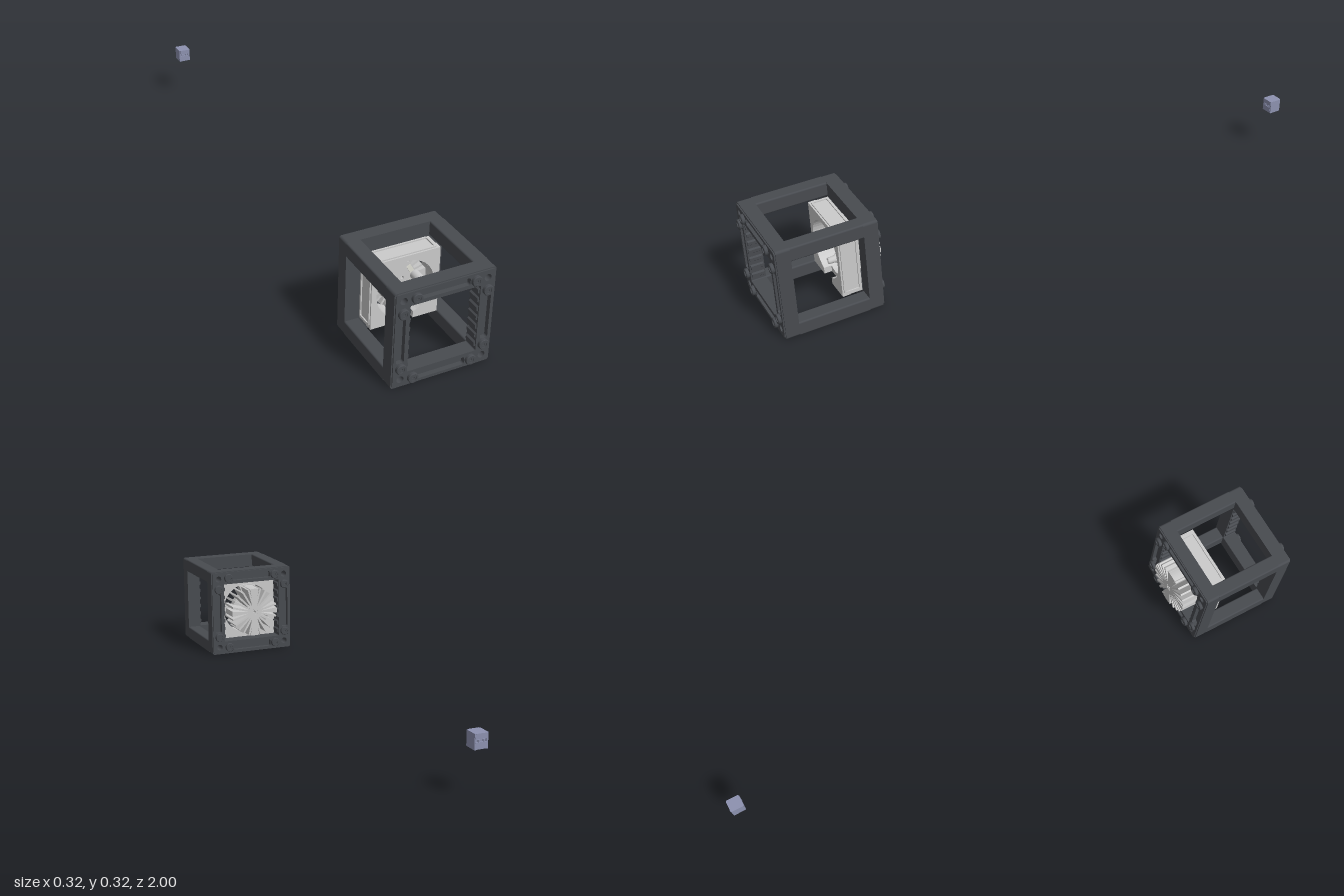
import * as THREE from 'three';

const CY = 0.16; // height of the cube's centre
const dark = new THREE.MeshStandardMaterial({ color: 0x484b50 });
const grey = new THREE.MeshStandardMaterial({ color: 0xcccccc });
const pale = new THREE.MeshStandardMaterial({ color: 0xe0e0d6 });
const blue = new THREE.MeshStandardMaterial({ color: 0x8d92b0 });

function add(parent, name, geo, mat, x = 0, y = 0, z = 0) {
  const m = new THREE.Mesh(geo, mat);
  m.name = name;
  m.position.set(x, y, z);
  parent.add(m);
  return m;
}

// Rounded rectangle drawn around (x, y)
function rounded(w, h, r, x = 0, y = 0, Type = THREE.Shape) {
  const s = new Type(), a = w / 2 - r, b = h / 2 - r;
  s.absarc(x + a, y + b, r, 0, Math.PI / 2);
  s.absarc(x - a, y + b, r, Math.PI / 2, Math.PI);
  s.absarc(x - a, y - b, r, Math.PI, Math.PI * 1.5);
  s.absarc(x + a, y - b, r, Math.PI * 1.5, Math.PI * 2);
  s.closePath();
  return s;
}

function hole(x, y, r) {
  return new THREE.Path().absarc(x, y, r, 0, Math.PI * 2, true);
}

// Extrusion between two depths
function slab(shape, z0, z1) {
  return new THREE.ExtrudeGeometry(shape, { depth: z1 - z0, bevelEnabled: false, curveSegments: 20 }).translate(0, 0, z0);
}

const corners = [[1, 1], [-1, 1], [-1, -1], [1, -1]];

// One square end of the cage, outer face towards local +z at z = 0
function endFrame(name) {
  const g = new THREE.Group();
  g.name = name;
  const outline = (size, slots) => {
    const s = rounded(size, size, 0.008);
    s.holes.push(rounded(0.22, 0.22, 0.003, 0, 0, THREE.Path));
    corners.forEach(([a, b]) => s.holes.push(hole(a * 0.131, b * 0.131, 0.011)));
    if (slots) for (const k of [-1, 1]) {
      s.holes.push(rounded(0.15, 0.024, 0.006, 0, k * 0.134, THREE.Path));
      s.holes.push(rounded(0.024, 0.15, 0.006, k * 0.134, 0, THREE.Path));
    }
    return s;
  };
  add(g, 'frameBase', slab(outline(0.317, false), -0.048, -0.015), dark);
  add(g, 'frameSlotted', slab(outline(0.317, true), -0.015, -0.004), dark);
  add(g, 'frameLip', slab(outline(0.31, true), -0.004, 0), dark);

  // Stepped round bosses, two beside each corner hole
  const profile = [[0, 0.004], [0.004, 0.004], [0.004, 0.007], [0.009, 0.007], [0.009, 0.01],
    [0.0145, 0.01], [0.016, 0.008], [0.016, -0.002]].map(p => new THREE.Vector2(...p)).reverse();
  const boss = new THREE.LatheGeometry(profile, 28).rotateX(Math.PI / 2);
  const bossMat = dark.clone();
  bossMat.side = THREE.DoubleSide;
  bossMat.flatShading = true;
  corners.forEach(([a, b]) => {
    add(g, 'boss', boss, bossMat, a * 0.093, b * 0.133, 0);
    add(g, 'boss', boss, bossMat, a * 0.132, b * 0.092, 0);
  });

  // Grip teeth along the inner sides
  const tooth = new THREE.Shape([[0, -0.009], [0.005, -0.005], [0.005, 0.005], [0, 0.009]].map(p => new THREE.Vector2(...p)));
  const toothGeo = slab(tooth, -0.044, -0.004);
  for (let i = -3; i <= 3; i++) {
    add(g, 'gripTooth', toothGeo, dark, -0.11, i * 0.03, 0);
    add(g, 'gripTooth', toothGeo, dark, 0.11, i * 0.03, -0.048).rotation.y = Math.PI;
  }
  return g;
}

// Cage: two ends joined by four hollow posts
function cage() {
  const g = new THREE.Group();
  g.name = 'cage';
  const front = endFrame('frontFrame');
  front.position.z = 0.99;
  const back = endFrame('backFrame');
  back.position.z = 0.665;
  back.rotation.y = Math.PI;
  g.add(front, back);
  const post = rounded(0.047, 0.047, 0.005);
  post.holes.push(hole(0, 0, 0.011));
  const postGeo = slab(post, 0.713, 0.942);
  corners.forEach(([a, b]) => add(g, 'post', postGeo, dark, a * 0.135, b * 0.135, 0));
  return g;
}

// Block that carries the heat sink
function carrier() {
  const g = new THREE.Group();
  g.name = 'carrier';
  const back = rounded(0.22, 0.222, 0.003);
  back.holes.push(hole(0, 0, 0.094));
  add(g, 'carrierBack', slab(back, 0.715, 0.755), grey);

  // Front layer has a cable channel running down from the round opening
  const f = new THREE.Shape(), c = 0.03, a = Math.asin(c / 0.094);
  f.moveTo(c, -0.111);
  f.lineTo(0.11, -0.111);
  f.lineTo(0.11, 0.111);
  f.lineTo(-0.11, 0.111);
  f.lineTo(-0.11, -0.111);
  f.lineTo(-c, -0.111);
  f.absarc(0, 0, 0.094, -Math.PI / 2 - a, -Math.PI / 2 + a, true);
  f.closePath();
  add(g, 'carrierFront', slab(f, 0.755, 0.78), grey);

  // Rimmed name panels, left blank, on the top and both sides
  const rim = rounded(0.2, 0.056, 0.004);
  rim.holes.push(rounded(0.188, 0.044, 0.003, 0, 0, THREE.Path));
  const rimGeo = slab(rim, 0, 0.005).rotateX(-Math.PI / 2);
  for (const k of [-1, 0, 1]) {
    const holder = new THREE.Group();
    holder.name = 'sidePanel';
    holder.rotation.z = k * Math.PI / 2;
    add(holder, 'panelRim', rimGeo, grey, 0, k ? 0.109 : 0.11, 0.747);
    g.add(holder);
  }
  return g;
}

function sector(r0, r1, mid, half) {
  const s = new THREE.Shape();
  s.absarc(0, 0, r1, mid - half, mid + half, false);
  s.absarc(0, 0, r0, mid + half, mid - half, true);
  s.closePath();
  return s;
}

// Round finned heat sink with a lamp board on its front
function heatSink() {
  const g = new THREE.Group();
  g.name = 'heatSink';
  const disc = new THREE.Shape().absarc(0, 0, 0.062, 0, Math.PI * 2, false);
  disc.holes.push(hole(0, 0, 0.005));
  for (const k of [-1, 1]) disc.holes.push(rounded(0.009, 0.009, 0.001, k * 0.019, 0, THREE.Path));
  add(g, 'baseDisc', slab(disc, 0.705, 0.728), grey);
  const hub = new THREE.Shape().absarc(0, 0, 0.014, 0, Math.PI * 2, false);
  hub.holes.push(hole(0, 0, 0.005));
  add(g, 'hub', slab(hub, 0.637, 0.705), grey);

  // Broad lugs up, down, left and right
  for (let i = 0; i < 4; i++) {
    const mid = i * Math.PI / 2, half = i % 2 ? 0.36 : 0.2;
    add(g, 'lug', slab(sector(0.055, 0.0935, mid, half), 0.705, 0.735), grey);
    add(g, 'broadFin', slab(sector(0.026, 0.09, mid, half * 0.55), 0.635, 0.705), grey);
  }
  // Narrow radial fins
  for (let i = 0; i < 24; i++) {
    const angle = i * Math.PI / 12;
    const fin = new THREE.BoxGeometry(0.078, 0.007, i % 6 ? 0.09 : 0.07).translate(0.051, 0, i % 6 ? 0.68 : 0.67);
    if (i % 6) add(g, 'fin', fin, grey).rotation.z = angle;
    else add(g, 'finRoot', new THREE.BoxGeometry(0.025, 0.007, 0.07).translate(0.022, 0, 0.67), grey).rotation.z = angle;
  }
  // Lamp pads on the disc
  corners.forEach(([a, b]) => {
    const pad = add(g, 'lampPad', new THREE.BoxGeometry(0.014, 0.026, 0.004), pale, a * 0.044, b * 0.026, 0.729);
    pad.rotation.z = a * b * Math.PI / 6;
  });
  // Screw bosses
  const profile = [[0.015, 0.728], [0.015, 0.77], [0.011, 0.775], [0.01, 0.797], [0.005, 0.797], [0.004, 0.787], [0, 0.787]];
  const screw = new THREE.LatheGeometry(profile.map(p => new THREE.Vector2(...p)), 24).rotateX(Math.PI / 2);
  const screwMat = grey.clone();
  screwMat.side = THREE.DoubleSide;
  for (const k of [-1, 1]) add(g, 'screwBoss', screw, screwMat, k * 0.061, 0, 0);
  return g;
}

// Small separate connector far behind the cage
function connector() {
  const g = new THREE.Group();
  g.name = 'connector';
  g.position.set(0.005, 0.165, -0.977);
  add(g, 'connectorBody', new THREE.BoxGeometry(0.036, 0.02, 0.044), blue, 0, -0.012, 0);
  add(g, 'connectorTop', new THREE.BoxGeometry(0.036, 0.016, 0.046), blue, 0, 0.015, 0);
  add(g, 'connectorCore', new THREE.BoxGeometry(0.028, 0.03, 0.036), blue);
  for (const k of [-1, 1]) {
    add(g, 'connectorRib', new THREE.BoxGeometry(0.006, 0.046, 0.042), blue, k * 0.018, 0, 0);
    add(g, 'connectorPin', new THREE.BoxGeometry(0.006, 0.006, 0.046), blue, k * 0.008, 0.002, 0);
  }
  return g;
}

export function createModel() {
  const model = new THREE.Group();
  model.name = 'lampCube';
  const cube = new THREE.Group();
  cube.name = 'cube';
  cube.position.y = CY;
  cube.add(cage(), carrier(), heatSink());
  model.add(cube, connector());
  return model;
}
